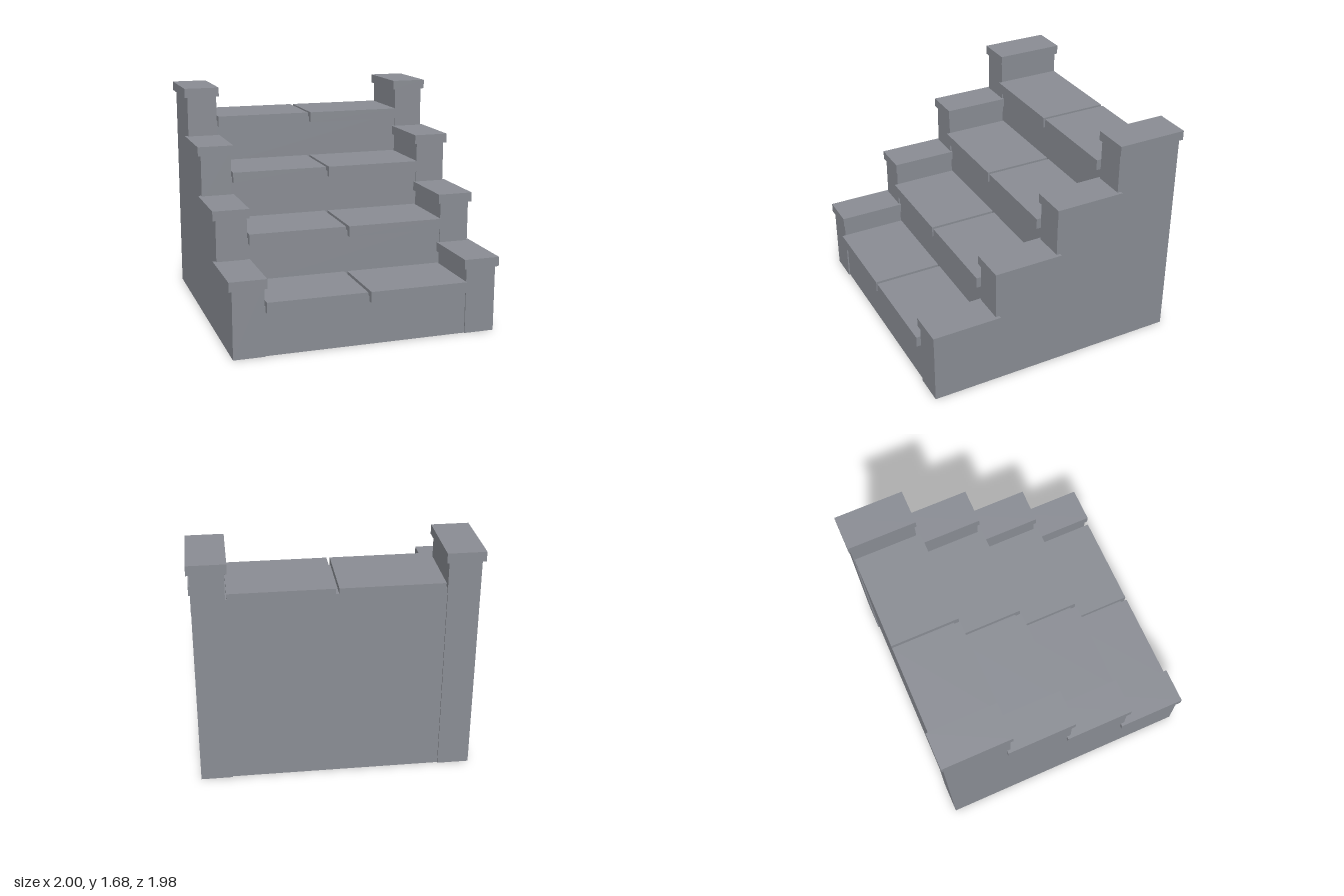
import * as THREE from 'three';

const STEPS = 4;
const RUN = 0.48;

export function createModel() {
  const group = new THREE.Group();
  group.name = 'stoneStairs';
  const stone = new THREE.MeshStandardMaterial({ color: 0x8a8d94 });
  stone.name = 'grey stone';

  function add(name, geometry) {
    const mesh = new THREE.Mesh(geometry, stone);
    mesh.name = name;
    group.add(mesh);
  }

  // Box given by its minimum and maximum on each axis
  function block(name, x0, x1, y0, y1, z0, z1) {
    const g = new THREE.BoxGeometry(x1 - x0, y1 - y0, z1 - z0);
    add(name, g.translate((x0 + x1) / 2, (y0 + y1) / 2, (z0 + z1) / 2));
  }

  // Stepped side profile (z, y) extruded across x
  function stepped(name, x0, x1, front, back, firstTop, rise) {
    const shape = new THREE.Shape();
    shape.moveTo(back, 0);
    shape.lineTo(front, 0);
    for (let i = 0; i < STEPS; i++) {
      const y = firstTop + i * rise;
      shape.lineTo(front - i * RUN, y);
      shape.lineTo(i === STEPS - 1 ? back : front - (i + 1) * RUN, y);
    }
    shape.closePath();
    const g = new THREE.ExtrudeGeometry(shape, { depth: x1 - x0, bevelEnabled: false });
    add(name, g.rotateY(-Math.PI / 2).translate(x1, 0, 0));
  }

  // Core with the risers, set back slightly between the side walls
  stepped('stairCore', -0.75, 0.75, 0.947, -0.967, 0.356, 0.354);

  for (const side of [-1, 1]) {
    const word = side > 0 ? 'left' : 'right';
    const span = (a, b) => (side > 0 ? [a, b] : [-b, -a]);

    stepped(word + 'Wall', ...span(0.75, 0.977), 0.957, -0.977, 0.52, 0.375);

    for (let i = 0; i < STEPS; i++) {
      // Cap stone on each wall step
      const capTop = 0.56 + i * 0.375;
      const capFront = 0.969 - i * RUN;
      block(word + 'Cap' + (i + 1), ...span(0.731, 1), capTop - 0.07, capTop, capFront - 0.52, capFront);

      // Tread slab with a narrow gap in the middle
      const treadTop = 0.398 + i * 0.354;
      const treadFront = 0.987 - i * RUN;
      const treadBack = i === STEPS - 1 ? -0.97 : treadFront - 0.525;
      block(word + 'Tread' + (i + 1), ...span(0.012, 0.741), treadTop - 0.08, treadTop, treadBack, treadFront);
    }
  }

  return group;
}
